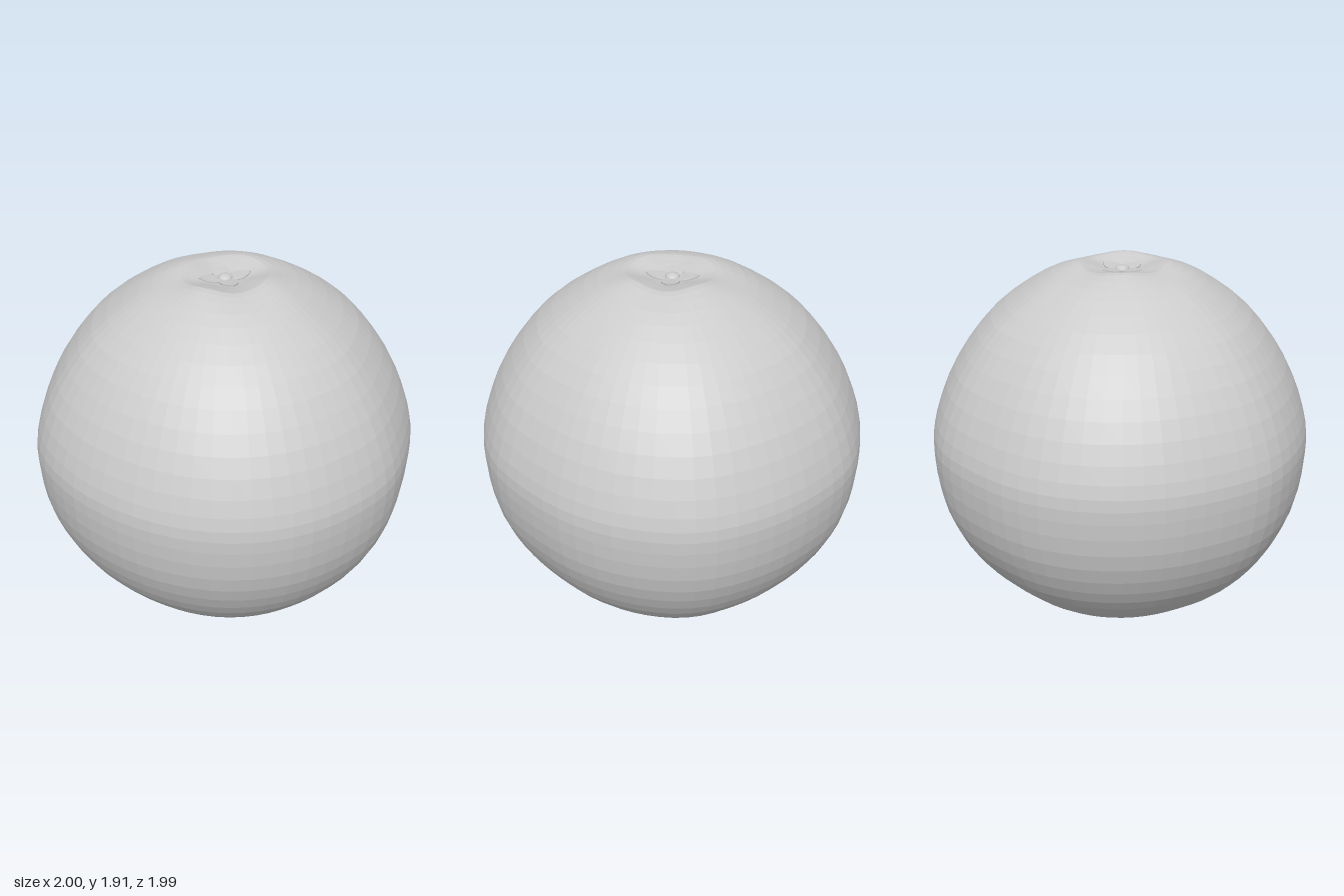
import * as THREE from 'three';

const material = new THREE.MeshStandardMaterial({ color: 0xcccccc, flatShading: true });
const smooth = new THREE.MeshStandardMaterial({ color: 0xcccccc, side: THREE.DoubleSide });

// Profile of the fruit, bottom dimple to top dimple: [radius, height]
const PROFILE = [
  [0, 0.03], [0.06, 0.012], [0.15, 0.002], [0.28, 0.03], [0.42, 0.09], [0.64, 0.235],
  [0.83, 0.44], [0.95, 0.69], [0.99, 0.95], [0.97, 1.14], [0.86, 1.4], [0.67, 1.65],
  [0.43, 1.825], [0.25, 1.897], [0.17, 1.891], [0.08, 1.868], [0, 1.86],
];

// Uneven girth of the fruit, every 18 degrees from +x towards -z
const GIRTH = [
  0.998, 1.015, 1.0, 0.998, 1.012, 1.0, 1.009, 1.006, 0.994, 0.984,
  0.995, 0.975, 0.963, 0.97, 0.985, 0.99, 0.985, 0.985, 0.967, 0.98,
];

function makeBody() {
  const profile = new THREE.SplineCurve(PROFILE.map(([r, y]) => new THREE.Vector2(r, y)));
  const points = profile.getPoints(48);
  points.forEach((p) => { p.x = Math.max(p.x, 0); });
  const geometry = new THREE.LatheGeometry(points, 64);
  const girth = new THREE.CatmullRomCurve3(
    GIRTH.map((g) => new THREE.Vector3(g, 0, 0)), true, 'catmullrom');

  const pos = geometry.attributes.position;
  for (let i = 0; i < pos.count; i++) {
    const x = pos.getX(i), y = pos.getY(i), z = pos.getZ(i);
    const radius = Math.hypot(x, z);
    const angle = Math.atan2(-z, x);
    const turn = (angle / (2 * Math.PI) + 1) % 1;
    const scale = girth.getPoint(turn).x / 0.99;
    // Four shallow grooves run out from the stem between low swellings
    const ring = y > 1.5 ? Math.exp(-(((radius - 0.24) / 0.13) ** 2)) : 0;
    pos.setXYZ(i, x * scale, y - 0.008 * Math.cos(4 * angle) * ring, z * scale);
  }
  geometry.computeVertexNormals();
  const body = new THREE.Mesh(geometry, material);
  body.name = 'fruitBody';
  return body;
}

// Pointed leaf lying along +x, curled up towards its tip
function makeLeafGeometry() {
  const shape = new THREE.Shape();
  shape.moveTo(0.01, -0.02);
  shape.bezierCurveTo(0.04, -0.06, 0.09, -0.055, 0.135, 0);
  shape.bezierCurveTo(0.09, 0.055, 0.04, 0.06, 0.01, 0.02);
  shape.closePath();
  const geometry = new THREE.ExtrudeGeometry(shape, {
    depth: 0.006, bevelEnabled: false, curveSegments: 10,
  });
  geometry.rotateX(-Math.PI / 2);
  const pos = geometry.attributes.position;
  for (let i = 0; i < pos.count; i++) {
    const r = Math.hypot(pos.getX(i), pos.getZ(i));
    pos.setY(i, pos.getY(i) + 1.1 * r * r);
  }
  geometry.computeVertexNormals();
  return geometry;
}

function makeCalyx() {
  const calyx = new THREE.Group();
  calyx.name = 'calyx';
  const leafGeometry = makeLeafGeometry();
  for (let i = 0; i < 4; i++) {
    const leaf = new THREE.Mesh(leafGeometry, smooth);
    leaf.name = `calyxLeaf${i + 1}`;
    leaf.rotation.y = (i * Math.PI) / 2;
    calyx.add(leaf);
  }
  const stem = new THREE.Mesh(new THREE.SphereGeometry(0.038, 20, 12), smooth);
  stem.name = 'stemButton';
  stem.scale.y = 0.6;
  stem.position.y = 0.005;
  calyx.add(stem);
  calyx.position.set(0, 1.866, -0.01);
  return calyx;
}

export function createModel() {
  const model = new THREE.Group();
  model.name = 'fruit';
  model.add(makeBody(), makeCalyx());
  return model;
}
